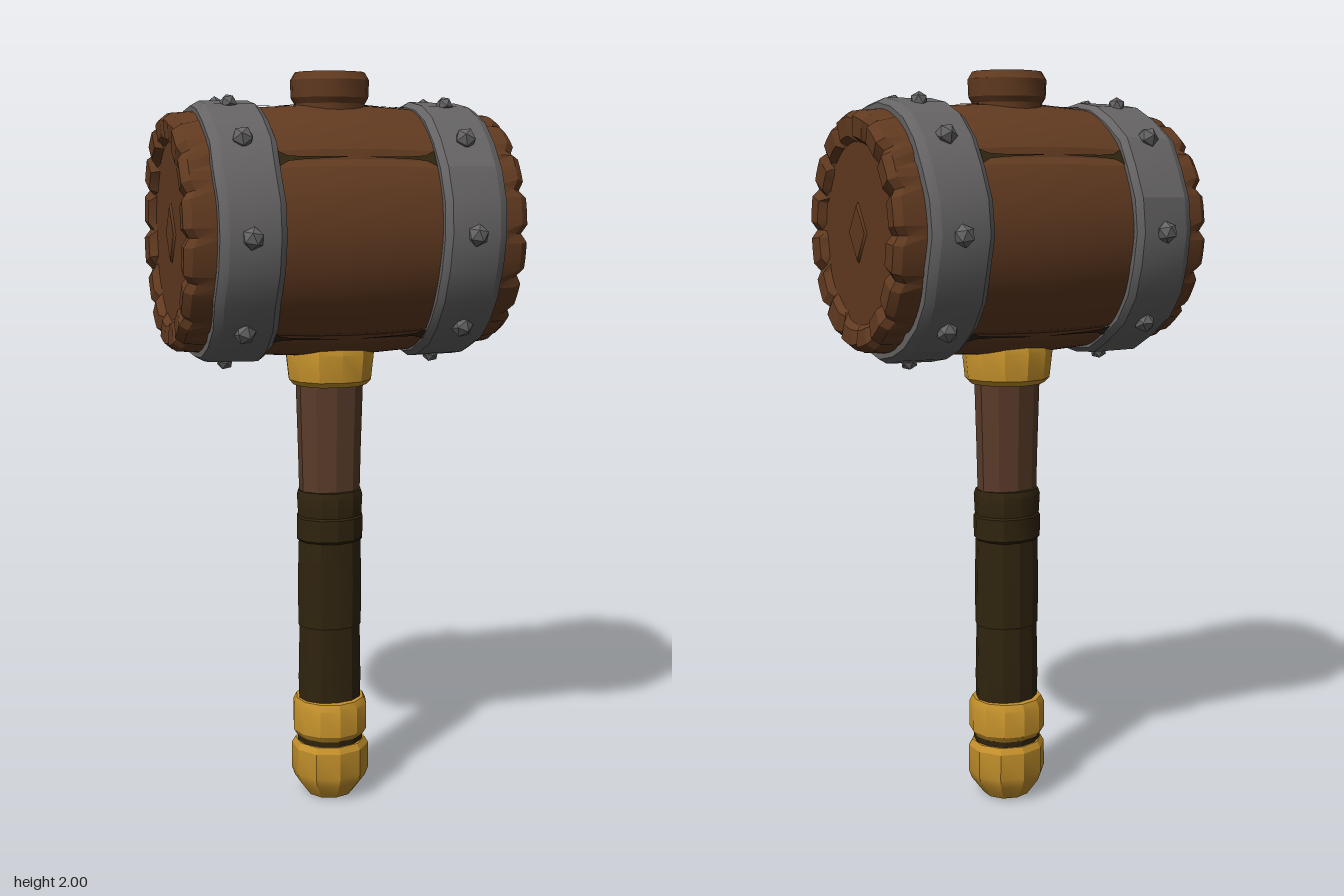
import * as THREE from 'three';
import { toCreasedNormals } from 'three/addons/utils/BufferGeometryUtils.js';

const paint = (name, color, extra = {}) => {
  const m = new THREE.MeshStandardMaterial({ color, ...extra });
  m.name = name;
  return m;
};
const HEAD_Y = 1.585; // height of the head's axis
const SQUASH = 1.06; // the barrel is a little taller than deep
const DEG = Math.PI / 180;

// repeatable hand-carved irregularity in -1..1
const wobble = (i) => {
  const s = Math.sin(i * 127.1 + 3.7) * 43758.5453;
  return 2 * (s - Math.floor(s)) - 1;
};

// keeps edges sharp; worked at a larger scale so small bevels survive
function crease(geo, angle = 0.45) {
  geo.scale(100, 100, 100);
  const out = toCreasedNormals(geo, angle);
  out.scale(0.01, 0.01, 0.01);
  return out;
}

// moves every vertex by a rule
function reshape(geo, rule) {
  const p = geo.attributes.position;
  const v = new THREE.Vector3();
  for (let i = 0; i < p.count; i++) {
    v.fromBufferAttribute(p, i);
    rule(v);
    p.setXYZ(i, v.x, v.y, v.z);
  }
  return geo;
}

const lathe = (points, sides) =>
  new THREE.LatheGeometry(points.map(([r, y]) => new THREE.Vector2(r, y)), sides);

function add(group, name, geo, mat) {
  const mesh = new THREE.Mesh(geo, mat);
  mesh.name = name;
  group.add(mesh);
  return mesh;
}

export function createModel() {
  const wood = paint('barrel wood', 0x613a20);
  const shaftWood = paint('shaft wood', 0x5a3c2a);
  const leather = paint('dark leather', 0x30240f, { side: THREE.DoubleSide });
  const gold = paint('gold', 0xc3902b);
  const iron = paint('iron', 0x656363);

  const model = new THREE.Group();
  model.name = 'hammer';
  const head = new THREE.Group();
  head.name = 'head';
  head.position.y = HEAD_Y;
  const handle = new THREE.Group();
  handle.name = 'handle';
  model.add(head, handle);

  // barrel with recessed ends, stave grooves and a notched rim
  const half = [[0.31, 0], [0.308, 0.1], [0.302, 0.2], [0.292, 0.36], [0.287, 0.43],
    [0.272, 0.45], [0.228, 0.447], [0.215, 0.425], [0, 0.425]];
  const profile = [...half.slice(1).reverse().map(([r, x]) => [r, -x]), ...half];
  const seams = [90, 36, 144, -54, -126];
  const barrel = lathe(profile, 80);
  barrel.rotateZ(-Math.PI / 2);
  reshape(barrel, (v) => {
    const r = Math.hypot(v.y, v.z);
    if (r < 0.01) return;
    const a = Math.atan2(v.y, v.z) / DEG;
    const onSeam = seams.some((s) => Math.abs(a - s) < 1);
    const step = Math.round(a / 4.5 + 80) % 80;
    const stave = Math.floor(step / 5);
    const side = Math.sign(v.x);
    let k = 1;
    if (Math.abs(v.x) < 0.4 && onSeam) k = 0.972;
    if (Math.abs(v.x) > 0.42) {
      const notch = step % 5 === 0;
      if (r > 0.22) v.x -= side * (notch ? 0.016 : 0.003 * (1 + wobble(stave)));
      if (r < 0.24) k = 1 + 0.03 * wobble(stave + side * 20);
      else if (notch) k = 0.98;
    }
    v.y *= k * SQUASH;
    v.z *= k;
  });
  add(head, 'barrel', crease(barrel, 0.35), wood);

  // carved diamond on each end
  for (const s of [-1, 1]) {
    const knot = add(head, 'endKnot', new THREE.CylinderGeometry(0.05, 0.056, 0.008, 4), wood);
    knot.rotation.z = -s * Math.PI / 2;
    knot.scale.x = 1.4;
    knot.position.x = s * 0.427;
  }

  // dark gaps between staves, as thin strips of varying width
  function gap(angle, stops) {
    const a = angle * DEG;
    const pos = [];
    for (const [x, w] of stops) {
      const r = 0.3125 - 0.04 * Math.abs(x);
      for (const s of [-1, 1]) {
        pos.push(x, SQUASH * (r * Math.sin(a) + s * w * Math.cos(a)), r * Math.cos(a) - s * w * Math.sin(a));
      }
    }
    const index = [];
    for (let i = 0; i < stops.length - 1; i++) {
      const k = i * 2;
      index.push(k, k + 2, k + 1, k + 1, k + 2, k + 3);
    }
    const geo = new THREE.BufferGeometry();
    geo.setAttribute('position', new THREE.Float32BufferAttribute(pos, 3));
    geo.setIndex(index);
    geo.computeVertexNormals();
    add(head, 'staveGap', geo, leather);
  }
  for (const s of [-1, 1]) {
    gap(90, [[s * 0.09, 0.03], [s * 0.12, 0.016], [s * 0.15, 0.006], [s * 0.18, 0.012], [s * 0.205, 0.03]]);
    for (const angle of seams.slice(1)) {
      gap(angle, [[s * 0.03, 0.001], [s * 0.14, 0.004], [s * 0.18, 0.008], [s * 0.205, 0.022]]);
    }
  }

  // iron bands with studs
  const bandProfile = [[0.28, -0.085], [0.318, -0.085], [0.33, -0.068], [0.328, 0.06],
    [0.316, 0.082], [0.28, 0.082], [0.28, -0.085]];
  const studs = [0, 45, 76, 104, 135, 180, 225, 270, 315];
  for (const s of [-1, 1]) {
    const band = new THREE.Group();
    band.name = s > 0 ? 'leftBand' : 'rightBand';
    band.position.x = s * 0.29;
    head.add(band);
    const hoop = lathe(bandProfile, 24);
    hoop.rotateZ(-s * Math.PI / 2);
    reshape(hoop, (v) => {
      const step = Math.round(Math.atan2(v.y, v.z) / (15 * DEG) + 24) % 24;
      const k = 1 + 0.007 * wobble(step + s * 30);
      v.x += 0.004 * wobble(step + s * 60);
      v.y *= 1.025 * k;
      v.z *= k;
    });
    add(band, 'hoop', crease(hoop, 0.3), iron);
    studs.forEach((deg, i) => {
      const a = deg * DEG;
      const size = deg === 76 || deg === 104 || deg === 270 ? 0.023 : 0.029;
      const stud = add(band, 'stud', new THREE.IcosahedronGeometry(size, 0).toNonIndexed(), iron);
      stud.geometry.computeVertexNormals();
      stud.position.set(0, 0.337 * Math.sin(a), 0.328 * Math.cos(a));
      stud.rotation.set(-a, i * 0.7, 0.4);
    });
  }

  // turned parts of the handle, bottom to top: name, material, sides, depth, profile
  const turned = [
    ['pommel', gold, 10, 0.96, [[0, 0], [0.066, 0.005], [0.1, 0.05], [0.109, 0.075], [0.108, 0.148], [0.098, 0.165], [0, 0.165]]],
    ['pommelGap', leather, 12, 0.95, [[0.092, 0.155], [0.094, 0.19]]],
    ['gripRing', gold, 12, 0.97, [[0, 0.182], [0.096, 0.182], [0.106, 0.198], [0.106, 0.272], [0.097, 0.29], [0, 0.29]]],
    ['grip', leather, 12, 0.85, [[0.088, 0.28], [0.09, 0.35], [0.087, 0.5], [0.09, 0.505], [0.091, 0.64], [0.088, 0.75]]],
    ['gripWrap', leather, 12, 0.87, [[0.086, 0.742], [0.093, 0.75], [0.094, 0.81], [0.09, 0.815], [0.093, 0.87], [0.088, 0.885], [0, 0.885]]],
    ['shaft', shaftWood, 10, 0.74, [[0.085, 0.87], [0.088, 1.0], [0.094, 1.2]]],
    ['collar', gold, 12, 1, [[0, 1.178], [0.102, 1.178], [0.115, 1.192], [0.123, 1.265], [0.117, 1.285], [0, 1.285]]],
    ['topPeg', wood, 16, 1, [[0.092, 1.87], [0.093, 1.915], [0.102, 1.93], [0.104, 1.975], [0.092, 1.995], [0, 2.0]]],
  ];
  turned.forEach(([name, mat, sides, depth, points], n) => {
    const geo = lathe(points, sides);
    reshape(geo, (v) => {
      const step = Math.round(Math.atan2(v.x, v.z) * sides / (2 * Math.PI) + sides) % sides;
      const k = 1 + 0.014 * wobble(step + n * 17);
      v.x *= k;
      v.z *= k * depth;
    });
    add(handle, name, crease(geo), mat);
  });

  return model;
}
